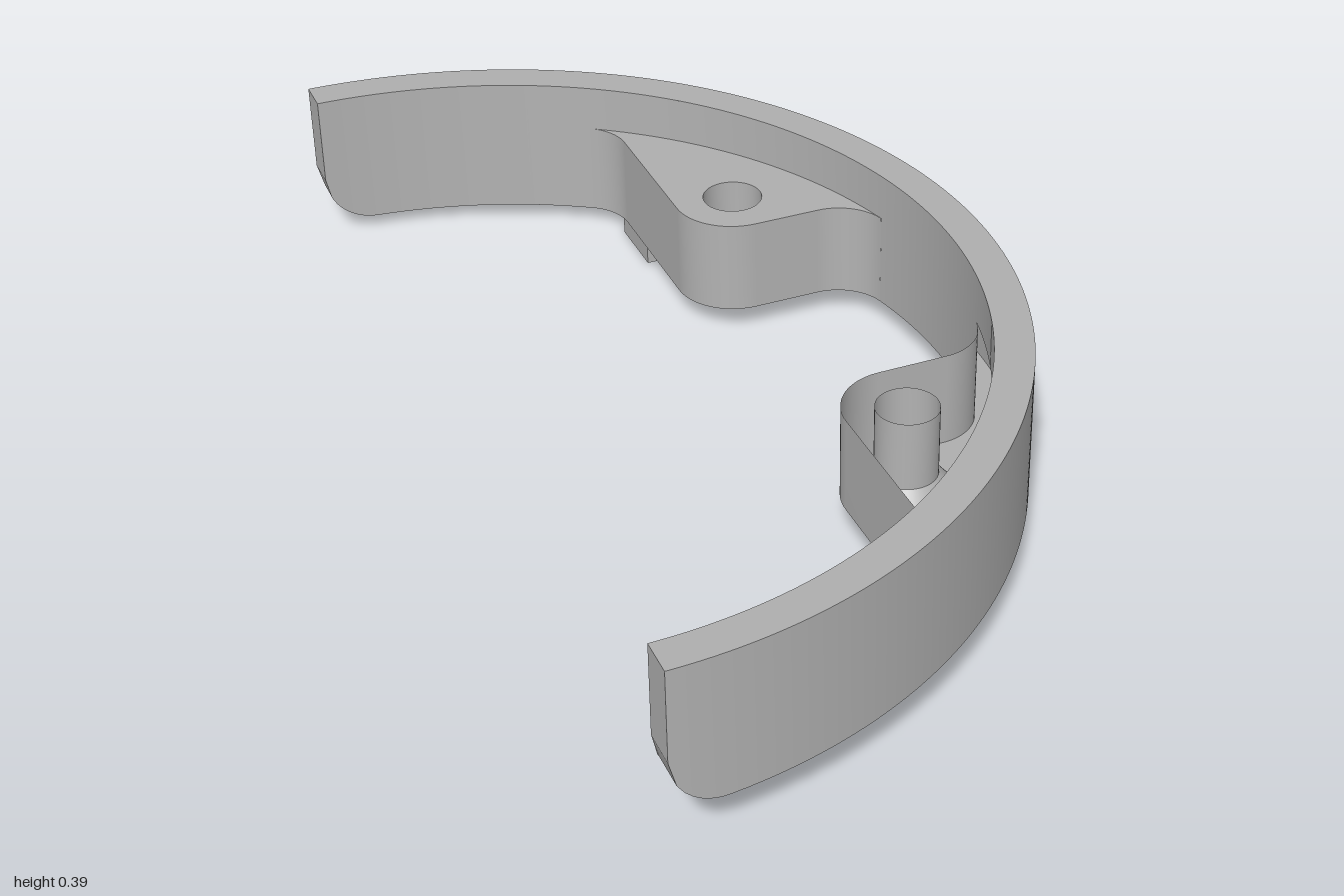
import * as THREE from 'three';

const CX = -0.497;                 // ring axis
const RO = 0.995, RI = 0.925;      // ring radii
const H = 0.276, TAB_H = 0.185;    // ring and tab heights
const CORNER = 0.1;                // rounding of the ring's lower end corners
const PHI_A = 0.22, PHI_B = 0.979; // angles where a tab meets the ring
const HOLE = [0.178, 0.395], HOLE_R = 0.057, SINK_R = 0.1, SINK_H = 0.05;

const grey = new THREE.MeshStandardMaterial({ color: 0xb0b0b0, side: THREE.DoubleSide });
grey.name = 'grey';

// Surface between two rows of points
function strip(a, b, flat = false) {
  const n = a.length, index = [];
  for (let i = 0; i < n - 1; i++) index.push(i, i + 1, n + i, i + 1, n + i + 1, n + i);
  let g = new THREE.BufferGeometry().setFromPoints([...a, ...b]);
  g.setIndex(index);
  if (flat) g = g.toNonIndexed();
  g.computeVertexNormals();
  return g;
}

// Points [x, w] along an arc
function arc(cx, cw, r, from, to, n) {
  return Array.from({ length: n + 1 }, (_, i) => {
    const t = from + (to - from) * i / n;
    return [cx + r * Math.cos(t), cw + r * Math.sin(t)];
  });
}

const atHeight = (pts, y, s = 1) => pts.map(([x, w]) => new THREE.Vector3(x, y, s * w));

// Flat plate facing up or down, with holes
function plate(outline, holes, y, s, up) {
  const k = up ? -s : s;
  const conv = pts => pts.map(([x, w]) => new THREE.Vector2(x, k * w));
  const shape = new THREE.Shape(conv(outline));
  for (const h of holes) shape.holes.push(new THREE.Path(conv(h)));
  return new THREE.ShapeGeometry(shape).rotateX(up ? -Math.PI / 2 : Math.PI / 2).translate(0, y, 0);
}

function add(group, name, geometry) {
  const m = new THREE.Mesh(geometry, grey);
  m.name = name;
  group.add(m);
}

// Lower edge of the ring, rounded up towards both ends
function lowerEdge(x) {
  const d = Math.max(0, CORNER - (x - CX));
  return CORNER - Math.sqrt(Math.max(0, CORNER * CORNER - d * d));
}

function makeRing() {
  const ring = new THREE.Group();
  ring.name = 'halfRing';
  const Q = Math.PI / 2;
  const row = (r, from, to, n, height) => arc(CX, 0, r, from, to, n)
    .map(([x, z]) => new THREE.Vector3(x, height(x), z));
  const top = () => H;
  const outTop = row(RO, -Q, Q, 240, top), outLow = row(RO, -Q, Q, 240, lowerEdge);
  const inTop = row(RI, -Q, Q, 240, top), inLow = row(RI, -Q, Q, 240, lowerEdge);
  add(ring, 'outerWall', strip(outTop, outLow));
  add(ring, 'topRim', strip(inTop, outTop));
  add(ring, 'bottomRim', strip(outLow, inLow));

  // The inner wall stops at the tab tops where the tabs join it
  const cuts = [-Q, -PHI_B, -PHI_A, PHI_A, PHI_B, Q];
  for (let i = 0; i < 5; i++) {
    const low = i % 2 ? () => TAB_H : lowerEdge;
    add(ring, 'innerWall', strip(row(RI, cuts[i], cuts[i + 1], 60, low), row(RI, cuts[i], cuts[i + 1], 60, top)));
  }
  for (const s of [1, -1]) {
    const ends = [[CX, RI], [CX, RO]];
    const low = atHeight(ends, CORNER, s), high = atHeight(ends, H, s);
    add(ring, 'endFace', s > 0 ? strip(low, high) : strip(high, low));
  }
  return ring;
}

// Screw tab; s is its side along z
function makeTab(s, name, closedTop) {
  const tab = new THREE.Group();
  tab.name = name;
  const wall = (pts, lo, hi, flat) => {
    const a = atHeight(pts, lo, s), b = atHeight(pts, hi, s);
    return s > 0 ? strip(b, a, flat) : strip(a, b, flat);
  };
  const [hx, hw] = HOLE;
  const edge = [
    ...arc(-0.037, 0.685, 0.1, PHI_B, 0, 12),
    ...arc(hx, hw, 0.115, Math.PI, Math.PI * 1.5, 20),
    ...arc(0.308, 0.18, 0.1, Math.PI / 2, PHI_A, 16),
  ];
  const outline = [...edge, ...arc(CX, 0, RI, PHI_A, PHI_B, 60).slice(1, -1)];
  const circle = r => arc(hx, hw, r, 0, Math.PI * 2, 48).slice(0, -1);
  const pad = [[0.066, 0.58], ...arc(CX, 0, 0.91, 0.691, 0.904, 12)];

  add(tab, 'tabSide', wall(edge, 0, TAB_H));
  add(tab, 'tabBottom', plate(outline, [circle(SINK_R), pad], 0, s, false));
  if (closedTop) add(tab, 'tabTop', plate(outline, [circle(HOLE_R)], TAB_H, s, true));

  // Screw hole with countersink below, facing its own axis
  const loop = r => arc(hx, s * hw, r, 0, Math.PI * 2, 48);
  const sink = atHeight(loop(HOLE_R), SINK_H);
  add(tab, 'screwHole', strip(sink, atHeight(loop(HOLE_R), TAB_H)));
  add(tab, 'countersink', strip(atHeight(loop(SINK_R), 0), sink));

  // Small locating pad underneath
  add(tab, 'padSide', wall([...pad, pad[0]], -0.04, 0, true));
  add(tab, 'padBottom', plate(pad, [], -0.04, s, false));
  return tab;
}

export function createModel() {
  const model = new THREE.Group();
  model.name = 'halfRingBracket';
  const body = new THREE.Group();
  body.name = 'tiltedBody';
  body.add(makeRing(), makeTab(1, 'frontTab', false), makeTab(-1, 'backTab', true));
  body.rotation.x = -0.0425;
  body.position.set(0, 0.0705, 0.006);
  model.add(body);
  return model;
}
